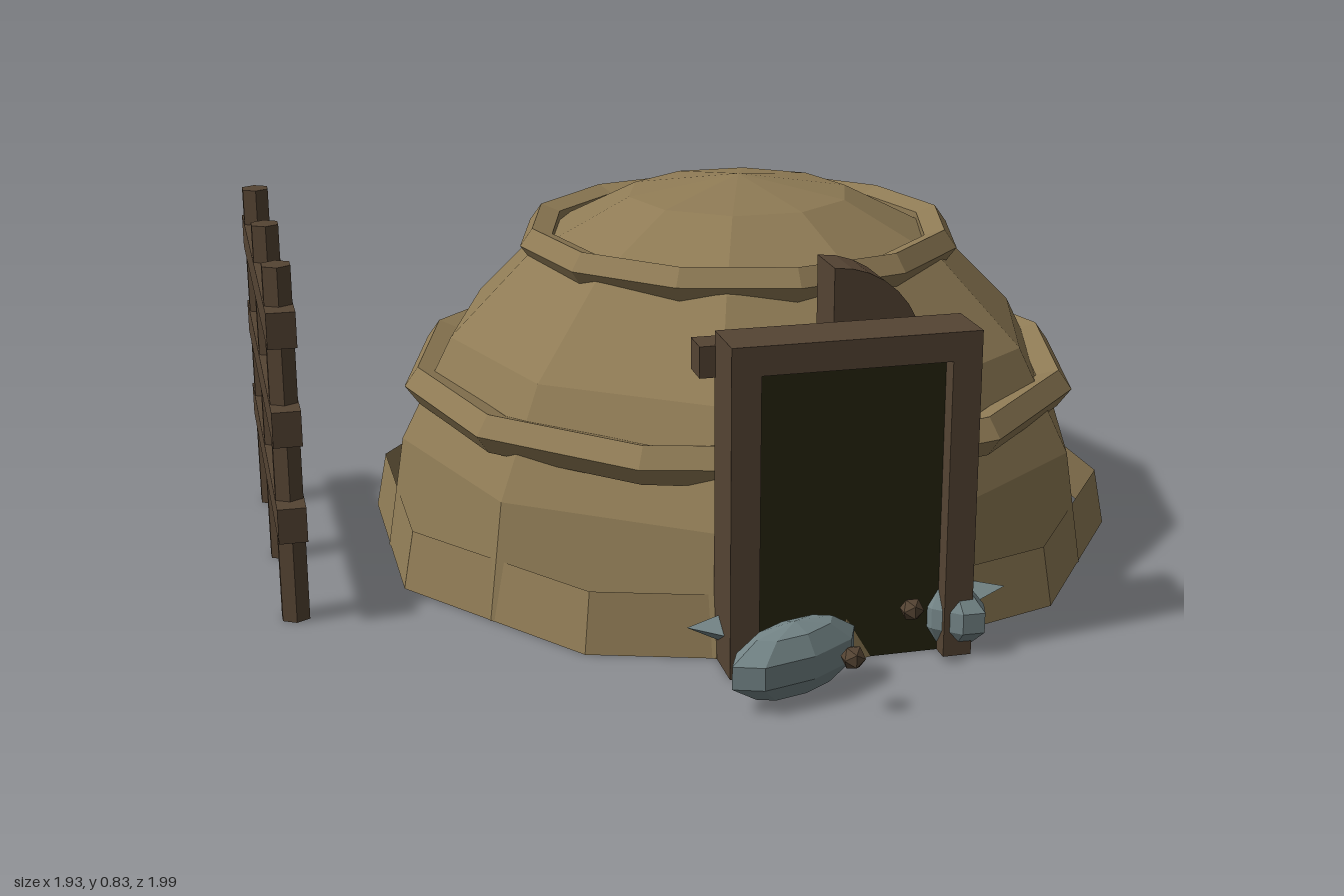
import * as THREE from 'three';

function material(name, color, side = THREE.FrontSide) {
  const m = new THREE.MeshStandardMaterial({ color, flatShading: true, side });
  m.name = name;
  return m;
}

export function createModel() {
  const clay = material('clay', 0x8f7b55, THREE.DoubleSide);
  const wood = material('wood', 0x554433);
  const shade = material('dark opening', 0x25240f);
  const stone = material('stone', 0x748587);

  const root = new THREE.Group();
  root.name = 'hut';

  function add(parent, name, geometry, mat, x = 0, y = 0, z = 0) {
    const mesh = new THREE.Mesh(geometry, mat);
    mesh.name = name;
    mesh.position.set(x, y, z);
    parent.add(mesh);
    return mesh;
  }
  // Box given by its extents on each axis
  function block(parent, name, mat, [x0, x1], [y0, y1], [z0, z1]) {
    return add(parent, name, new THREE.BoxGeometry(x1 - x0, y1 - y0, z1 - z0), mat,
      (x0 + x1) / 2, (y0 + y1) / 2, (z0 + z1) / 2);
  }
  function group(name) {
    const g = new THREE.Group();
    g.name = name;
    root.add(g);
    return g;
  }

  // Hollow dome, footing wall and two bands
  const shell = group('shell');
  shell.position.set(0.13, 0, -0.125);
  add(shell, 'dome', new THREE.SphereGeometry(0.83, 10, 5, 0, Math.PI * 2, 0, Math.PI / 2), clay);
  add(shell, 'footing', new THREE.CylinderGeometry(0.845, 0.87, 0.13, 10, 1, true), clay, 0, 0.065, 0);
  for (const [name, radius, tube, y] of [['lowerBand', 0.735, 0.045, 0.38], ['upperBand', 0.467, 0.041, 0.69]]) {
    const geometry = new THREE.TorusGeometry(radius, tube, 5, 12).rotateX(-Math.PI / 2);
    add(shell, name, geometry, clay, 0, y, 0);
  }

  // Doorway: back, posts, lintel and dark opening
  const door = group('doorway');
  block(door, 'doorBack', wood, [-0.125, 0.385], [0, 0.69], [0.64, 0.72]);
  block(door, 'doorOpening', shade, [-0.065, 0.325], [0, 0.63], [0.72, 0.728]);
  block(door, 'postRight', wood, [-0.125, -0.065], [0, 0.69], [0.72, 0.767]);
  block(door, 'postLeft', wood, [0.325, 0.385], [0, 0.69], [0.72, 0.767]);
  block(door, 'lintel', wood, [-0.065, 0.325], [0.63, 0.69], [0.72, 0.767]);
  block(door, 'crossBeam', wood, [-0.157, 0.42], [0.595, 0.66], [0.575, 0.645]);
  block(door, 'innerFrame', wood, [-0.1, 0.36], [0, 0.6], [0.58, 0.64]);
  block(door, 'rearBeam', wood, [-0.065, 0.32], [0.41, 0.6], [0.485, 0.58]);

  // Quarter-round piece above the door
  const fan = new THREE.Shape();
  fan.moveTo(0, 0);
  fan.lineTo(0.19, 0);
  fan.absarc(0, 0, 0.19, 0, Math.PI / 2, false);
  fan.closePath();
  add(door, 'quarterRound', new THREE.ExtrudeGeometry(fan, { depth: 0.115, bevelEnabled: false, curveSegments: 4 }),
    wood, 0.13, 0.6, 0.49);

  // Fence beside the hut
  const fence = group('fence');
  for (const z of [-0.49, -0.125, 0.24]) {
    add(fence, 'fencePost', new THREE.CylinderGeometry(0.033, 0.033, 0.775, 6), wood, -0.94, 0.3875, z);
  }
  for (const y of [0.235, 0.445, 0.655]) {
    block(fence, 'fenceRail', wood, [-0.97, -0.91], [y - 0.038, y + 0.038], [-0.575, 0.315]);
  }

  // Stones and small clods by the door
  const rocks = group('rocks');
  for (const [x, y, z, sx, sy, sz, yaw] of [
    [-0.02, 0.08, 0.86, 0.165, 0.077, 0.065, 0.42],
    [0.35, 0.075, 0.71, 0.1, 0.07, 0.055, -0.95],
  ]) {
    const rock = add(rocks, 'rock', new THREE.SphereGeometry(1, 8, 5), stone, x, y, z);
    rock.scale.set(sx, sy, sz);
    rock.rotation.y = yaw;
  }
  for (const [x, z, tilt] of [[0.46, 0.645, -1.4], [-0.15, 0.69, 1.4]]) {
    const shard = add(rocks, 'shard', new THREE.ConeGeometry(0.04, 0.09, 3), stone, x, 0.08, z);
    shard.rotation.z = tilt;
  }
  for (const [x, y, z] of [[0.063, 0.12, 0.972], [0.245, 0.125, 0.793]]) {
    add(rocks, 'clod', new THREE.IcosahedronGeometry(0.025, 0), wood, x, y, z);
  }

  return root;
}
